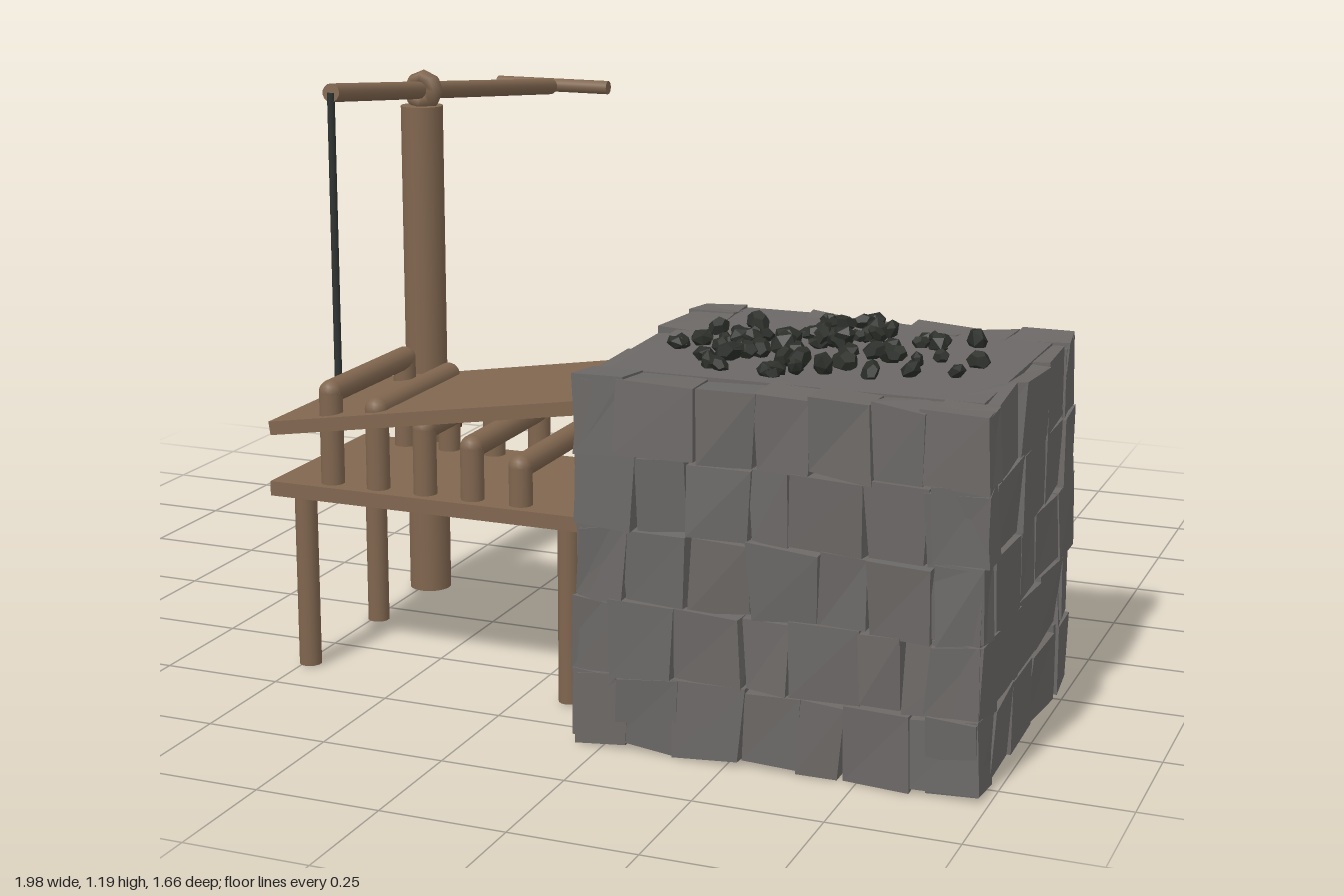
import * as THREE from 'three';

const flat = (name, color, extra = {}) => {
  const m = new THREE.MeshStandardMaterial({ color, ...extra });
  m.name = name;
  return m;
};

export function createModel() {
  const root = new THREE.Group();
  root.name = 'forge';
  const wood = flat('wood', 0x80664f);
  const stone = flat('stone', 0x6b6866, { flatShading: true });
  const coal = flat('coal', 0x2b2e29, { flatShading: true });
  const iron = flat('dark iron', 0x2e3331);
  const bucketWood = flat('bucket wood', 0x5f3f1f, { flatShading: true, side: THREE.DoubleSide });
  const hoop = flat('hoop iron', 0x565553);

  let seed = 7;
  const rand = () => {
    seed = (seed * 16807) % 2147483647;
    return seed / 2147483647;
  };
  const spread = (a) => (rand() * 2 - 1) * a;

  const add = (parent, name, geo, mat, x = 0, y = 0, z = 0) => {
    const mesh = new THREE.Mesh(geo, mat);
    mesh.name = name;
    mesh.position.set(x, y, z);
    parent.add(mesh);
    return mesh;
  };
  const group = (name) => {
    const g = new THREE.Group();
    g.name = name;
    root.add(g);
    return g;
  };
  // Round bar between two points
  const bar = (parent, name, a, b, r, mat, sides = 14) => {
    const p = new THREE.Vector3(...a), q = new THREE.Vector3(...b);
    const mesh = add(parent, name, new THREE.CylinderGeometry(r, r, p.distanceTo(q), sides), mat);
    mesh.position.copy(p).add(q).multiplyScalar(0.5);
    mesh.quaternion.setFromUnitVectors(new THREE.Vector3(0, 1, 0), q.sub(p).normalize());
    return mesh;
  };
  // Box whose eight corners are shifted at random
  const roughBox = (w, h, d, j) => {
    const geo = new THREE.BoxGeometry(w, h, d).toNonIndexed();
    const shifts = Array.from({ length: 8 }, () => [spread(j), spread(j), spread(j)]);
    const p = geo.attributes.position;
    for (let i = 0; i < p.count; i++) {
      const s = shifts[(p.getX(i) > 0 ? 1 : 0) + (p.getY(i) > 0 ? 2 : 0) + (p.getZ(i) > 0 ? 4 : 0)];
      p.setXYZ(i, p.getX(i) + s[0], p.getY(i) + s[1], p.getZ(i) + s[2]);
    }
    geo.computeVertexNormals();
    return geo;
  };

  // Hollow stone hearth: five courses of rough blocks
  const hearth = group('hearth');
  const xCuts = [
    [0.19, 0.28, 0.40, 0.53, 0.64, 0.72, 0.85, 0.98],
    [0.19, 0.27, 0.39, 0.53, 0.62, 0.75, 0.83, 0.98],
    [0.20, 0.29, 0.42, 0.54, 0.67, 0.77, 0.89, 0.98],
    [0.20, 0.31, 0.42, 0.54, 0.62, 0.76, 0.87, 0.98],
    [0.20, 0.28, 0.43, 0.55, 0.65, 0.77, 0.86, 0.98],
  ];
  const zCuts = [
    [0.13, 0.25, 0.43, 0.58, 0.73, 0.82],
    [0.13, 0.22, 0.38, 0.55, 0.74, 0.82],
    [0.13, 0.26, 0.42, 0.56, 0.75, 0.82],
    [0.13, 0.20, 0.37, 0.55, 0.73, 0.82],
    [0.13, 0.22, 0.39, 0.57, 0.74, 0.82],
  ];
  const depth = 0.1, course = 0.142;
  for (let row = 0; row < 5; row++) {
    const y = 0.014 + course * (row + 0.5);
    const xs = xCuts[row], zs = zCuts[row];
    for (let i = 0; i < xs.length - 1; i++) {
      for (const z of [0.13 + depth / 2, 0.82 - depth / 2]) {
        add(hearth, 'stoneBlock', roughBox(xs[i + 1] - xs[i] - 0.002, course - 0.002, depth, 0.008),
          stone, (xs[i] + xs[i + 1]) / 2, y, z + spread(0.004));
      }
    }
    for (let i = 0; i < zs.length - 1; i++) {
      for (const x of [0.197 + depth / 2, 0.98 - depth / 2]) {
        add(hearth, 'stoneBlock', roughBox(depth, course - 0.002, zs[i + 1] - zs[i] - 0.002, 0.008),
          stone, x + spread(0.004), y, (zs[i] + zs[i + 1]) / 2);
      }
    }
  }
  add(hearth, 'hearthTop', new THREE.BoxGeometry(0.72, 0.05, 0.56), stone, 0.59, 0.7, 0.46);

  // Coals, denser toward the middle
  const coals = group('coals');
  for (let i = 0; i < 75; i++) {
    const a = rand() * Math.PI * 2, d = Math.pow(rand(), 0.9);
    const size = 0.014 + rand() * 0.012;
    const lump = add(coals, 'coal', i % 2 ? new THREE.DodecahedronGeometry(size) : new THREE.IcosahedronGeometry(size),
      coal, 0.58 + Math.cos(a) * d * 0.31, 0.735 + (1 - d) * rand() * 0.035, 0.46 + Math.sin(a) * d * 0.25);
    lump.rotation.set(rand() * 6, rand() * 6, rand() * 6);
    lump.scale.set(1, 0.75, 1.2);
  }

  // Bellows table, tilted upper board and nozzle
  const bellows = group('bellows');
  add(bellows, 'lowerBoard', new THREE.BoxGeometry(0.695, 0.03, 0.4), wood, -0.19, 0.392, 0.48);
  const upper = add(bellows, 'upperBoard', new THREE.BoxGeometry(0.7, 0.028, 0.4), wood, -0.19, 0.572, 0.48);
  upper.rotation.z = Math.atan2(0.11, 0.695);
  for (const x of [-0.485, 0.1]) {
    for (const z of [0.33, 0.63]) bar(bellows, 'tableLeg', [x, 0.01, z], [x, 0.385, z], 0.023, wood);
  }
  bar(bellows, 'nozzle', [0.155, 0.428, 0.48], [0.28, 0.428, 0.48], 0.03, iron);

  // Arched ribs between the boards, shrinking toward the nozzle
  [[-0.415, 0.62], [-0.312, 0.594], [-0.207, 0.565], [-0.103, 0.537], [0.002, 0.508]].forEach(([x, top]) => {
    const r = 0.024, cy = top - r;
    for (const z of [0.32, 0.64]) {
      bar(bellows, 'ribPost', [x, 0.4, z], [x, cy, z], r, wood);
      add(bellows, 'ribCorner', new THREE.SphereGeometry(r, 14, 10), wood, x, cy, z);
    }
    bar(bellows, 'ribBar', [x, cy, 0.32], [x, cy, 0.64], r, wood);
  });

  // Pump post, lever, handle and pull rod
  const pump = group('pump');
  bar(pump, 'post', [-0.485, 0.01, 0.08], [-0.485, 1.1, 0.08], 0.046, wood, 20);
  bar(pump, 'lever', [-0.483, 1.175, 0.485], [-0.483, 1.063, -0.595], 0.019, wood);
  bar(pump, 'handle', [-0.63, 1.064, -0.617], [-0.34, 1.064, -0.617], 0.016, wood);
  bar(pump, 'pullRod', [-0.483, 1.175, 0.485], [-0.483, 0.53, 0.485], 0.008, iron, 8);
  const collar = add(pump, 'pivotCollar', new THREE.TorusGeometry(0.027, 0.018, 6, 8), wood, -0.483, 1.132, 0.075);
  collar.scale.z = 1.5;
  collar.rotation.x = -0.1;

  // Bucket with staves, floor, hoops and wire handle
  const bucket = group('bucket');
  bucket.position.set(-0.907, 0.01, -0.747);
  const staveProfile = [[0, 0], [0.073, 0], [0.086, 0.17], [0.074, 0.17], [0.063, 0.02], [0, 0.02]]
    .map(([r, y]) => new THREE.Vector2(r, y));
  add(bucket, 'staves', new THREE.LatheGeometry(staveProfile, 16), bucketWood);
  for (const y of [0.03, 0.13]) {
    const r = 0.0755 + (y / 0.17) * 0.013;
    add(bucket, 'hoop', new THREE.CylinderGeometry(r + 0.001, r, 0.014, 24, 1, true), hoop, 0, y + 0.007, 0);
  }
  for (const s of [-1, 1]) {
    add(bucket, 'handleLug', new THREE.BoxGeometry(0.012, 0.05, 0.045), bucketWood, s * 0.081, 0.155, 0);
  }
  const arc = new THREE.CatmullRomCurve3([[-0.083, 0.165], [-0.068, 0.225], [-0.035, 0.27], [0, 0.283],
    [0.035, 0.27], [0.068, 0.225], [0.083, 0.165]].map(([x, y]) => new THREE.Vector3(x, y, 0)));
  add(bucket, 'wireHandle', new THREE.TubeGeometry(arc, 20, 0.0025, 6), iron);

  return root;
}
